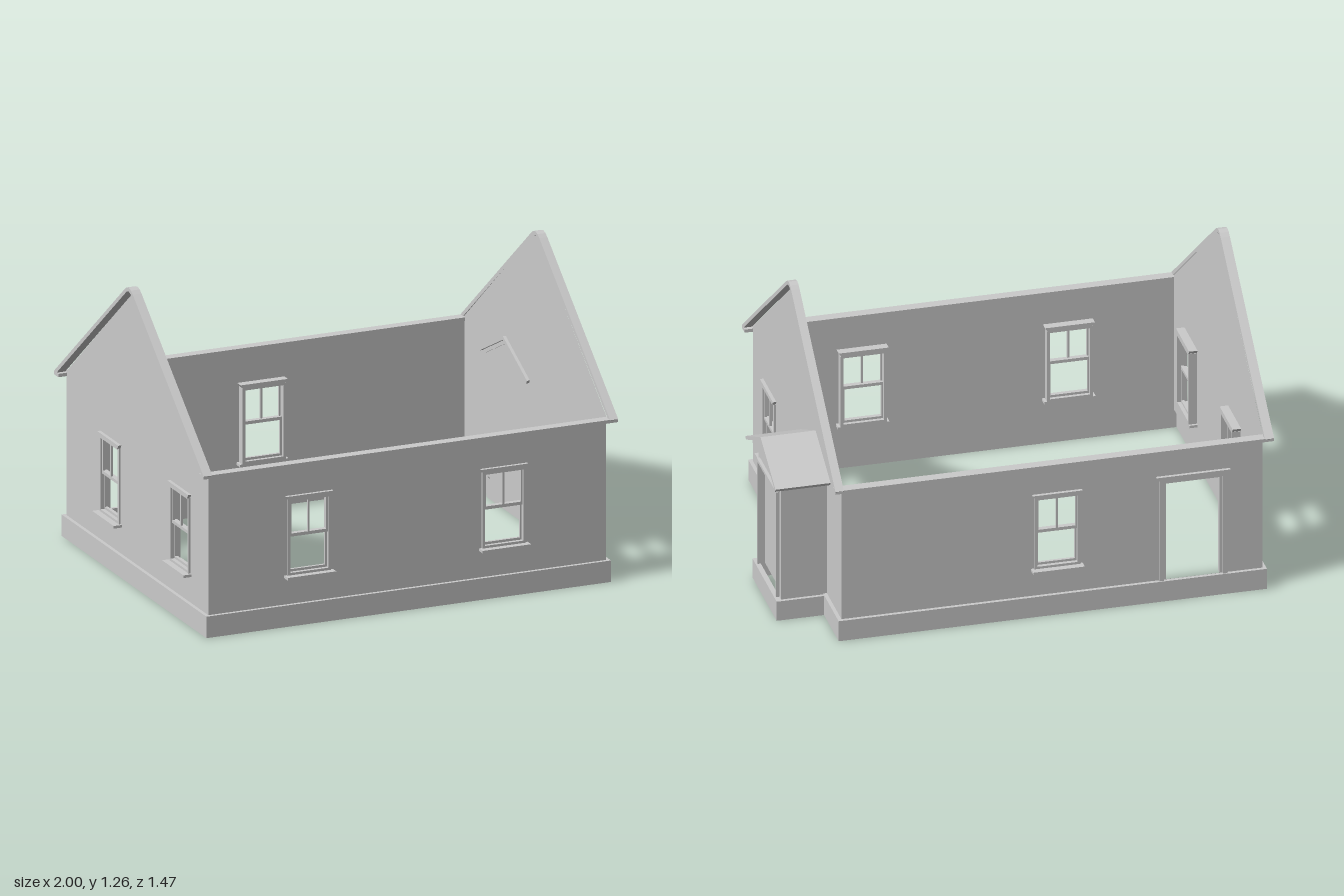
import * as THREE from 'three';

const mat = new THREE.MeshStandardMaterial({ color: 0xcccccc, side: THREE.DoubleSide, flatShading: true });
const X0 = -0.962, X1 = 0.773, ZW = 0.697, MID = (X0 + X1) / 2, HALF = (X1 - X0) / 2;

function add(parent, name, geometry, x = 0, y = 0, z = 0) {
  const m = new THREE.Mesh(geometry, mat);
  m.name = name;
  m.position.set(x, y, z);
  parent.add(m);
  return m;
}

// box given by its limits
function box(parent, name, x0, x1, y0, y1, z0, z1) {
  return add(parent, name, new THREE.BoxGeometry(x1 - x0, y1 - y0, z1 - z0),
    (x0 + x1) / 2, (y0 + y1) / 2, (z0 + z1) / 2);
}

const shapeOf = pts => new THREE.Shape(pts.map(p => new THREE.Vector2(...p)));
const rect = (x0, x1, y0, y1) => [[x0, y0], [x1, y0], [x1, y1], [x0, y1]];

function extrude(shape, depth) {
  return new THREE.ExtrudeGeometry(shape, { depth, bevelEnabled: false });
}

// rectangular frame with an opening, from z0 to z1
function frame(parent, name, outer, inner, z0, z1) {
  const s = shapeOf(rect(...outer));
  s.holes.push(shapeOf(rect(...inner)));
  return add(parent, name, extrude(s, z1 - z0), 0, 0, z0);
}

// hollow plinth: outer skirt plus the ledge that meets the wall
function plinth(parent, name, rings) {
  const pos = [], idx = [];
  for (const [x0, x1, z0, z1, y] of rings)
    pos.push(x0, y, z1, x1, y, z1, x1, y, z0, x0, y, z0);
  for (let r = 0; r < rings.length - 1; r++)
    for (let i = 0; i < 4; i++) {
      const a = r * 4 + i, b = r * 4 + (i + 1) % 4;
      idx.push(a, b, b + 4, a, b + 4, a + 4);
    }
  const g = new THREE.BufferGeometry();
  g.setAttribute('position', new THREE.Float32BufferAttribute(pos, 3));
  g.setIndex(idx);
  const flat = g.toNonIndexed();
  flat.computeVertexNormals();
  add(parent, name, flat);
}

// tapered head moulding over an opening
function headCap(parent, w, y0, y1) {
  const s = shapeOf([[-w / 2 + 0.012, y0], [w / 2 - 0.012, y0], [w / 2, y1], [-w / 2, y1]]);
  add(parent, 'headMoulding', extrude(s, 0.049), 0, 0, -0.035);
}

// sash window; local +z faces outdoors
function sashWindow(parent, u) {
  const w = new THREE.Group();
  w.name = 'window';
  w.position.x = u;
  parent.add(w);
  frame(w, 'windowCasing', [-0.095, 0.095, 0.21, 0.53], [-0.083, 0.083, 0.222, 0.521], -0.035, 0.008);
  headCap(w, 0.206, 0.527, 0.545);
  box(w, 'windowSill', -0.106, 0.106, 0.201, 0.212, -0.035, 0.035);
  frame(w, 'upperSash', [-0.085, 0.085, 0.372, 0.525], [-0.076, 0.076, 0.385, 0.518], -0.008, 0.002);
  box(w, 'glazingBar', -0.004, 0.004, 0.38, 0.52, -0.008, 0.002);
  frame(w, 'lowerSash', [-0.085, 0.085, 0.22, 0.385], [-0.076, 0.076, 0.232, 0.372], -0.02, -0.008);
}

// open doorway with casing
function doorway(parent, u) {
  const d = new THREE.Group();
  d.name = 'doorway';
  d.position.x = u;
  parent.add(d);
  const arch = (a, y) => [[-a, 0.09], [a, 0.09], [a, y], [-a, y]];
  const ring = (a, y, b, t) => shapeOf([...arch(a, y).slice(1), [-a, 0.09], [-b, 0.09], [-b, t], [b, t], [b, 0.09]]);
  add(d, 'doorCasing', extrude(ring(0.14, 0.545, 0.122, 0.53), 0.045), 0, 0, -0.035);
  add(d, 'doorLining', extrude(ring(0.125, 0.535, 0.11, 0.522), 0.025), 0, 0, -0.025);
  headCap(d, 0.305, 0.542, 0.558);
}

// thin wall with its openings; local +z faces outdoors
function wall(root, name, outline, x, z, turn, windows, doors = []) {
  const g = new THREE.Group();
  g.name = name;
  g.position.set(x, 0, z);
  g.rotation.y = turn;
  root.add(g);
  const s = shapeOf(outline);
  for (const u of windows) s.holes.push(shapeOf(rect(u - 0.09, u + 0.09, 0.215, 0.527)));
  for (const u of doors) s.holes.push(shapeOf(rect(u - 0.13, u + 0.13, 0.0905, 0.538)));
  add(g, name + 'Panel', new THREE.ShapeGeometry(s));
  windows.forEach(u => sashWindow(g, u));
  doors.forEach(u => doorway(g, u));
}

// mirrored profile extruded along x; half lists run from eave to ridge as [z, y]
function ridgeStrip(parent, name, top, under, x0, x1, z) {
  const left = top.map(([a, y]) => [-a, y]);
  const right = top.slice(0, -1).reverse();
  const low = [...under, ...under.slice(0, -1).reverse().map(([a, y]) => [-a, y])];
  const m = add(parent, name, extrude(shapeOf([...left, ...right, ...low]), x1 - x0), x0, 0, z);
  m.rotation.y = Math.PI / 2;
}

export function createModel() {
  const root = new THREE.Group();
  root.name = 'cottage';

  // walls
  const long = rect(-HALF, HALF, 0.09, 0.685);
  const gable = [[-ZW, 0.09], [ZW, 0.09], [ZW, 0.695], [0.02, 1.24], [-0.02, 1.24], [-ZW, 0.695]];
  wall(root, 'frontWall', long, MID, ZW, 0, [-0.525 - MID, 0.325 - MID]);
  wall(root, 'backWall', long, MID, -ZW, Math.PI, [0.115 + MID], [0.675 + MID]);
  wall(root, 'leftGable', gable, X1, 0, Math.PI / 2, [-0.43]);
  wall(root, 'rightGable', gable, X0, 0, -Math.PI / 2, [0.427, -0.26]);

  // plinth around the house
  plinth(root, 'housePlinth', [
    [X0 - 0.015, X1 + 0.015, -0.712, 0.712, 0],
    [X0 - 0.015, X1 + 0.015, -0.712, 0.712, 0.09],
    [X0, X1, -ZW, ZW, 0.09]]);

  // overhanging roof edges
  const top = [[0.737, 0.688], [0.04, 1.242], [0.022, 1.254], [0, 1.26]];
  const under = [[0.727, 0.675], [0.022, 1.236], [0, 1.243]];
  ridgeStrip(root, 'rightVerge', top, under, -1, X0, 0);
  ridgeStrip(root, 'leftVerge', top, under, X1, X1 + 0.035, 0);
  for (const s of [1, -1]) {
    const a = s * 0.692, b = s * 0.735;
    box(root, s > 0 ? 'frontEave' : 'backEave', -1, X1 + 0.035, 0.675, 0.689, Math.min(a, b), Math.max(a, b));
  }

  // porch
  const porch = new THREE.Group();
  porch.name = 'porch';
  root.add(porch);
  const PZ = -0.29, PX = 0.962;
  plinth(porch, 'porchPlinth', [
    [X1, 0.983, PZ - 0.191, PZ + 0.191, 0],
    [X1, 0.983, PZ - 0.191, PZ + 0.191, 0.086],
    [X1, PX, PZ - 0.177, PZ + 0.177, 0.086]]);
  for (const s of [1, -1]) {
    const side = new THREE.PlaneGeometry(PX - X1, 0.53);
    add(porch, 'porchSide', side, (X1 + PX) / 2, 0.351, PZ + s * 0.177);
  }

  // porch front with a recessed door
  const front = new THREE.Group();
  front.name = 'porchFront';
  front.position.set(PX, 0, PZ);
  front.rotation.y = Math.PI / 2;
  porch.add(front);
  const face = shapeOf([[-0.177, 0.086], [-0.14, 0.086], [-0.14, 0.545], [0.14, 0.545], [0.14, 0.086],
    [0.177, 0.086], [0.177, 0.616], [0, 0.705], [-0.177, 0.616]]);
  add(front, 'porchFace', new THREE.ShapeGeometry(face));
  const trim = shapeOf([[-0.152, 0.086], [-0.14, 0.086], [-0.14, 0.545], [0.14, 0.545], [0.14, 0.086],
    [0.152, 0.086], [0.152, 0.558], [-0.152, 0.558]]);
  add(front, 'porchDoorFrame', extrude(trim, 0.035), 0, 0, -0.022);
  box(front, 'porchDoor', -0.14, 0.14, 0.086, 0.545, -0.024, -0.018);

  // porch roof in two layers
  ridgeStrip(porch, 'porchRoof', [[0.237, 0.617], [0, 0.733]], [[0.23, 0.604], [0, 0.718]], 0.76, 1, PZ);
  ridgeStrip(porch, 'porchCornice', [[0.205, 0.62], [0, 0.72]], [[0.198, 0.603], [0, 0.7]], 0.77, 0.98, PZ);

  return root;
}
